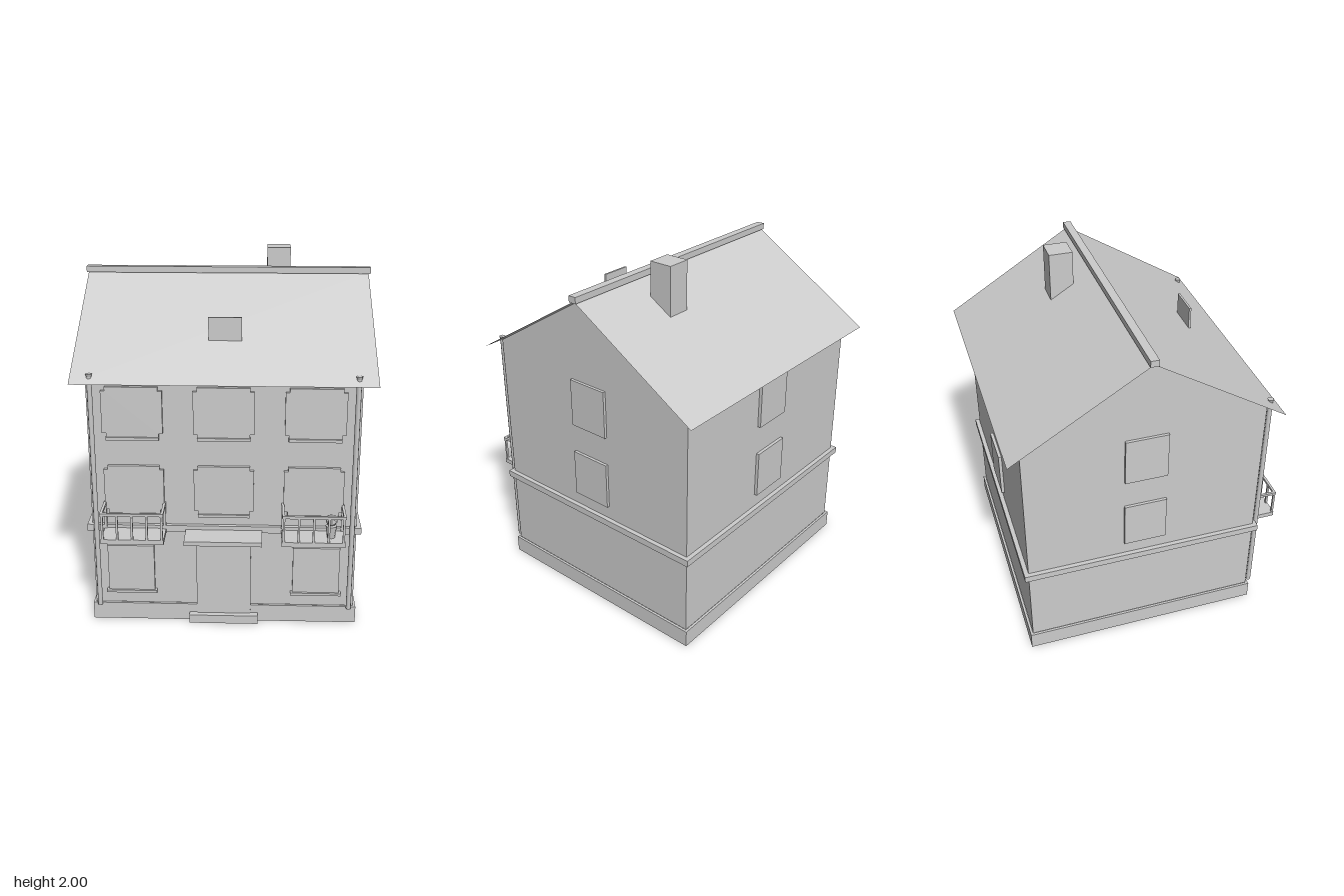
import * as THREE from 'three';

const stone = new THREE.MeshStandardMaterial({ color: 0xcccccc, side: THREE.DoubleSide });
stone.name = 'light grey';

const MID = -0.045;          // ridge line in z
const HX = 0.73, HZ = 0.67;  // half width and half depth of the walls
const FRONT = MID + HZ, BACK = MID - HZ;
const SLOPE = 0.617, RIDGE = 1.88;

export function createModel() {
  const house = new THREE.Group();
  house.name = 'townHouse';

  const add = (name, geometry, x = 0, y = 0, z = 0, parent = house) => {
    const mesh = new THREE.Mesh(geometry, stone);
    mesh.name = name;
    mesh.position.set(x, y, z);
    parent.add(mesh);
    return mesh;
  };
  // Box given by its limits on each axis
  const block = (name, x0, x1, y0, y1, z0, z1, parent) =>
    add(name, new THREE.BoxGeometry(x1 - x0, y1 - y0, z1 - z0),
      (x0 + x1) / 2, (y0 + y1) / 2, (z0 + z1) / 2, parent);

  // Walls with gables, extruded across the width
  const eave = RIDGE - HZ * SLOPE;
  const gable = new THREE.Shape([[-HZ, 0.1], [HZ, 0.1], [HZ, eave], [0, RIDGE], [-HZ, eave]]
    .map(([a, b]) => new THREE.Vector2(a, b - (b > 1 ? 0.005 : 0))));
  const walls = new THREE.ExtrudeGeometry(gable, { depth: 2 * HX, bevelEnabled: false });
  walls.rotateY(-Math.PI / 2).translate(HX, 0, MID);
  add('walls', walls);

  // Hollow plinth, open underneath
  const plinth = new THREE.Group();
  plinth.name = 'plinth';
  house.add(plinth);
  const px = 0.745, pf = 0.64, pb = -0.73, t = 0.014;
  block('plinthFront', -px, px, 0, 0.1, pf - t, pf, plinth);
  block('plinthBack', -px, px, 0, 0.1, pb, pb + t, plinth);
  for (const s of [-1, 1]) {
    const a = s * px, b = s * (px - t);
    block('plinthSide', Math.min(a, b), Math.max(a, b), 0, 0.1, pb + t, pf - t, plinth);
  }

  // Band course between the storeys
  block('bandCourse', -0.755, 0.755, 0.557, 0.595, -0.74, 0.647);

  // Thin roof sheets with overhanging eaves
  const run = 0.748;
  for (const [name, s] of [['roofFront', 1], ['roofBack', -1]]) {
    const sheet = new THREE.PlaneGeometry(1.61, Math.hypot(run, run * SLOPE));
    sheet.rotateX(-Math.PI / 2 + s * Math.atan(SLOPE));
    add(name, sheet, 0, RIDGE - run * SLOPE / 2, MID + s * run / 2);
  }
  block('ridgeCap', -0.815, 0.815, 1.875, 1.91, MID - 0.023, MID + 0.023);
  block('chimney', 0.226, 0.362, 1.65, 2, -0.3, -0.165);
  block('roofPanel', -0.09, 0.09, 1.59, 1.717, 0.418, 0.43);

  // Front windows with notched corners and sills
  const notched = (w, h, n) => {
    const x = w / 2, y = h / 2;
    return new THREE.Shape([
      [-x, -y + n], [-x + n, -y + n], [-x + n, -y], [x - n, -y], [x - n, -y + n], [x, -y + n],
      [x, y - n], [x - n, y - n], [x - n, y], [-x + n, y], [-x + n, y - n], [-x, y - n],
    ].map(([a, b]) => new THREE.Vector2(a, b)));
  };
  const windowGeometry = new THREE.ExtrudeGeometry(notched(0.325, 0.28, 0.022),
    { depth: 0.02, bevelEnabled: false });
  for (const x of [-0.488, 0, 0.488]) {
    for (const y of [1.25, 0.805]) {
      add('frontWindow', windowGeometry, x, y, FRONT);
      block('windowSill', x - 0.142, x + 0.142, y - 0.155, y - 0.138, FRONT, FRONT + 0.03);
    }
  }
  for (const x of [-0.52, 0.515]) {
    block('groundWindow', x - 0.13, x + 0.13, 0.19, 0.465, FRONT, FRONT + 0.018);
    block('groundSill', x - 0.142, x + 0.142, 0.175, 0.19, FRONT, FRONT + 0.03);
  }

  // Plain windows on the sides and back
  for (const [y0, y1] of [[0.675, 0.945], [1.115, 1.39]]) {
    block('rightWindow', -HX - 0.016, -HX, y0, y1, MID - 0.12, MID + 0.12);
    block('leftWindow', HX, HX + 0.016, y0, y1, MID - 0.12, MID + 0.12);
    block('backWindow', -0.12, 0.12, y0, y1, BACK - 0.018, BACK);
  }

  // Entrance
  block('door', -0.153, 0.15, 0.05, 0.52, FRONT, FRONT + 0.022);
  block('doorStep', -0.195, 0.192, 0, 0.05, 0.63, 0.677);
  block('doorCanopy', -0.21, 0.21, 0.547, 0.572, FRONT, 0.795);

  // Balconies with railings
  for (const x of [-0.488, 0.486]) {
    const balcony = new THREE.Group();
    balcony.name = 'balcony';
    house.add(balcony);
    const x0 = x - 0.17, x1 = x + 0.17, r = 0.014, z1 = 0.795;
    block('balconyFloor', x0, x1, 0.55, 0.577, FRONT, z1, balcony);
    block('frontRail', x0, x1, 0.715, 0.73, z1 - r, z1, balcony);
    for (const rx of [x0, x1 - r]) {
      block('sideRail', rx, rx + r, 0.715, 0.73, FRONT, z1 - r, balcony);
      block('wallPost', rx, rx + r, 0.577, 0.715, FRONT + 0.014, FRONT + 0.028, balcony);
    }
    for (let i = 0; i < 5; i++) {
      const bx = x0 + 0.004 + i * (0.34 - 0.02) / 4;
      block('baluster', bx, bx + 0.012, 0.577, 0.715, z1 - r + 0.001, z1 - 0.001, balcony);
    }
  }

  // Potted plant on the left balcony
  add('plantPot', new THREE.CylinderGeometry(0.031, 0.021, 0.07, 8), 0.583, 0.612, 0.722);
  add('plant', new THREE.IcosahedronGeometry(0.036, 0), 0.583, 0.678, 0.722);

  // Downpipes with funnels
  for (const s of [-1, 1]) {
    add('downpipe', new THREE.CylinderGeometry(0.014, 0.014, 1.35, 8), s * 0.703, 0.775, 0.656);
    add('pipeFunnel', new THREE.CylinderGeometry(0.018, 0.01, 0.03, 8), s * 0.703, 1.45, 0.656);
  }

  return house;
}
